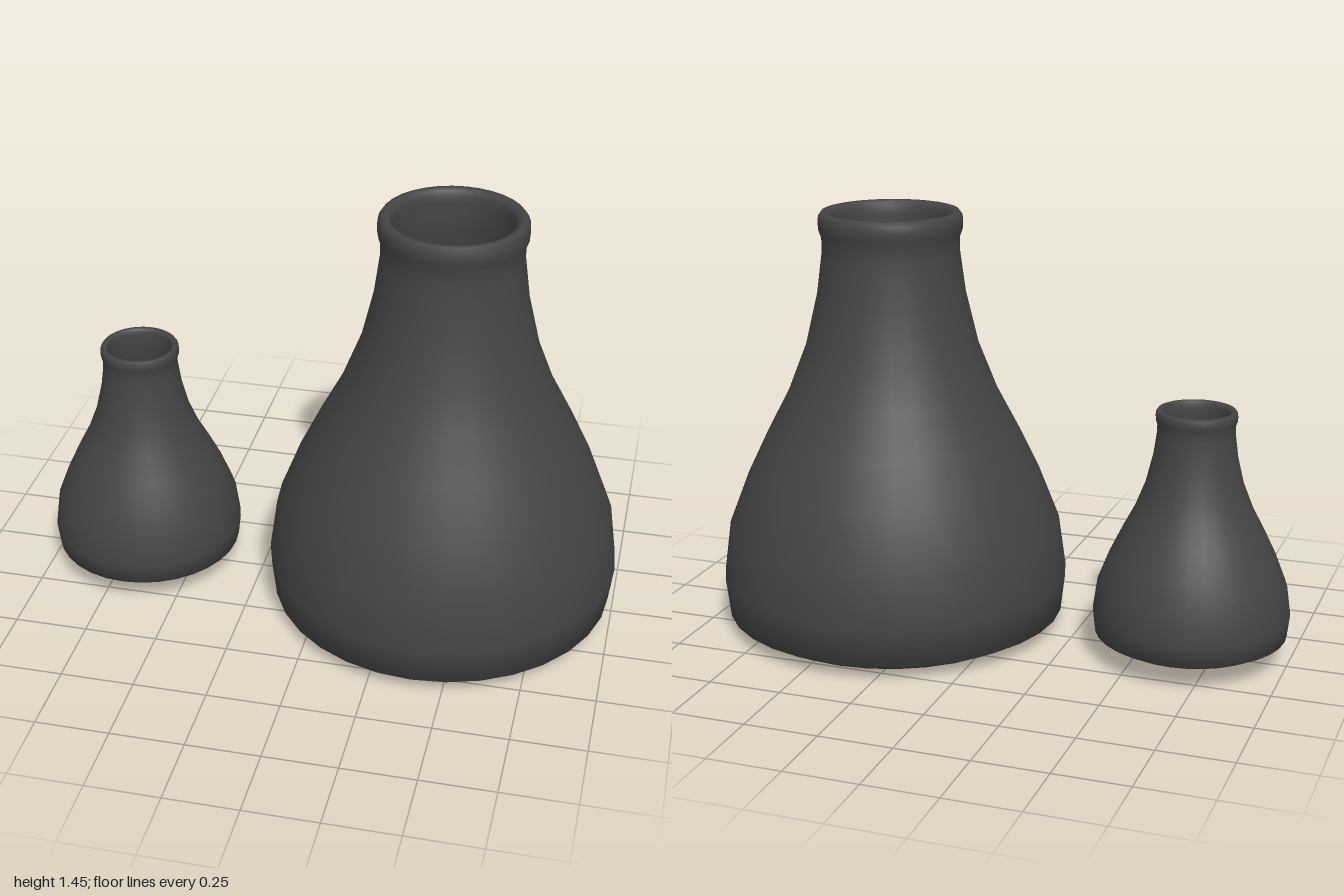
import * as THREE from 'three';

// Outer wall from the drain hole up to the lip: [radius, height]
const OUTER = [
  [0.02, 0], [0.04, 0], [0.4, 0], [0.5, 0.005], [0.585, 0.05], [0.6, 0.18],
  [0.575, 0.36], [0.505, 0.54], [0.433, 0.69], [0.357, 0.835], [0.294, 0.995],
  [0.252, 1.17], [0.233, 1.31], [0.233, 1.36],
];

// Rounded lip rolling over to the inside
const LIP = [
  [0.242, 1.385], [0.244, 1.41], [0.242, 1.435], [0.232, 1.449],
  [0.218, 1.45], [0.206, 1.444], [0.198, 1.43], [0.195, 1.405],
];

// Inner wall back down to the floor and the drain hole
const INNER = [
  [0.193, 1.36], [0.193, 1.31], [0.212, 1.17], [0.254, 0.99], [0.317, 0.825],
  [0.393, 0.675], [0.465, 0.53], [0.535, 0.35], [0.56, 0.18], [0.545, 0.08],
  [0.48, 0.045], [0.38, 0.04], [0.04, 0.04], [0.02, 0.04], [0.02, 0],
];

const material = new THREE.MeshStandardMaterial({ color: 0x444444 });

function makePot(name, scale, x, y) {
  const profile = [...OUTER, ...LIP, ...INNER].map(([r, h]) => new THREE.Vector2(r, h));
  const pot = new THREE.Mesh(new THREE.LatheGeometry(profile, 32), material);
  pot.name = name;
  pot.scale.setScalar(scale);
  pot.position.set(x, y, 0);
  return pot;
}

export function createModel() {
  const group = new THREE.Group();
  group.name = 'potPair';
  group.add(makePot('largePot', 1, 0.4, 0));
  group.add(makePot('smallPot', 0.55, -0.67, 0.06));
  return group;
}
